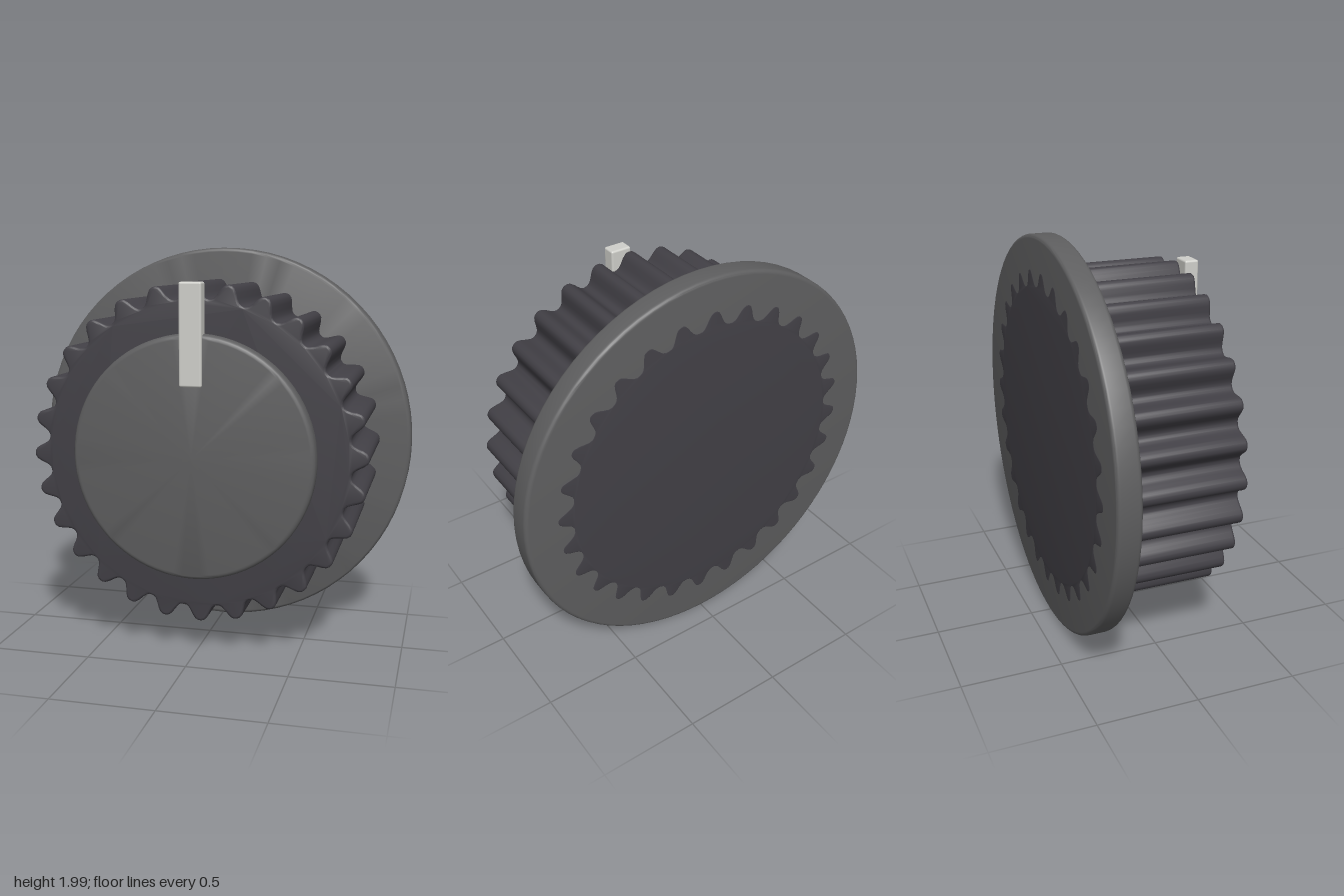
import * as THREE from 'three';
import { toCreasedNormals } from 'three/addons/utils/BufferGeometryUtils.js';
import { RoundedBoxGeometry } from 'three/addons/geometries/RoundedBoxGeometry.js';

const CENTRE_Y = 1.003;

function material(name, color) {
  const m = new THREE.MeshStandardMaterial({ color });
  m.name = name;
  return m;
}

// Round plate facing +z with filleted rims
function disc(name, radius, back, front, fillet, mat) {
  const profile = [new THREE.Vector2(0, back)];
  const steps = 5;
  for (const [z, start] of [[back + fillet, -Math.PI / 2], [front - fillet, 0]]) {
    for (let i = 0; i <= steps; i++) {
      const a = start + (i / steps) * Math.PI / 2;
      profile.push(new THREE.Vector2(radius - fillet + fillet * Math.cos(a), z + fillet * Math.sin(a)));
    }
  }
  profile.push(new THREE.Vector2(0, front));
  const geo = new THREE.LatheGeometry(profile, 80).rotateX(Math.PI / 2);
  const mesh = new THREE.Mesh(toCreasedNormals(geo, 0.6), mat);
  mesh.name = name;
  mesh.position.y = CENTRE_Y;
  return mesh;
}

// Fluted grip: a wavy outline extruded along z
function flutedGrip(mat) {
  const teeth = 28, perTooth = 14, points = [];
  const phase = Math.PI / 2 + THREE.MathUtils.degToRad(1.5);
  for (let i = 0; i < teeth * perTooth; i++) {
    const t = (i / perTooth) * Math.PI * 2;
    const wave = Math.cos(t) - 0.08 * Math.cos(3 * t);
    const r = 0.797 + 0.043 * wave;
    const a = phase + t / teeth;
    points.push(new THREE.Vector2(r * Math.cos(a), r * Math.sin(a)));
  }
  const bevel = 0.012, back = -0.401, front = 0.298;
  const geo = new THREE.ExtrudeGeometry(new THREE.Shape(points), {
    depth: front - back - 2 * bevel, steps: 1,
    bevelEnabled: true, bevelThickness: bevel, bevelSize: bevel, bevelOffset: -bevel, bevelSegments: 3,
  });
  geo.translate(0, 0, back + bevel);
  const mesh = new THREE.Mesh(toCreasedNormals(geo, 0.7), mat);
  mesh.name = 'flutedGrip';
  mesh.position.y = CENTRE_Y;
  return mesh;
}

export function createModel() {
  const grey = material('grey plastic', 0x5e5e5f);
  const dark = material('dark plastic', 0x424046);
  const pale = material('pale marker', 0xcfcfca);

  const knob = new THREE.Group();
  knob.name = 'knob';
  knob.add(disc('baseFlange', 0.997, -0.4, -0.28, 0.02, grey));
  knob.add(flutedGrip(dark));
  knob.add(disc('faceCap', 0.597, 0.294, 0.385, 0.025, grey));

  // Pointer bar reaching from the cap to the rim of the grip
  const pointer = new THREE.Mesh(new RoundedBoxGeometry(0.11, 0.49, 0.072, 3, 0.01), pale);
  pointer.name = 'pointer';
  pointer.position.set(0, 1.595, 0.364);
  knob.add(pointer);
  return knob;
}
